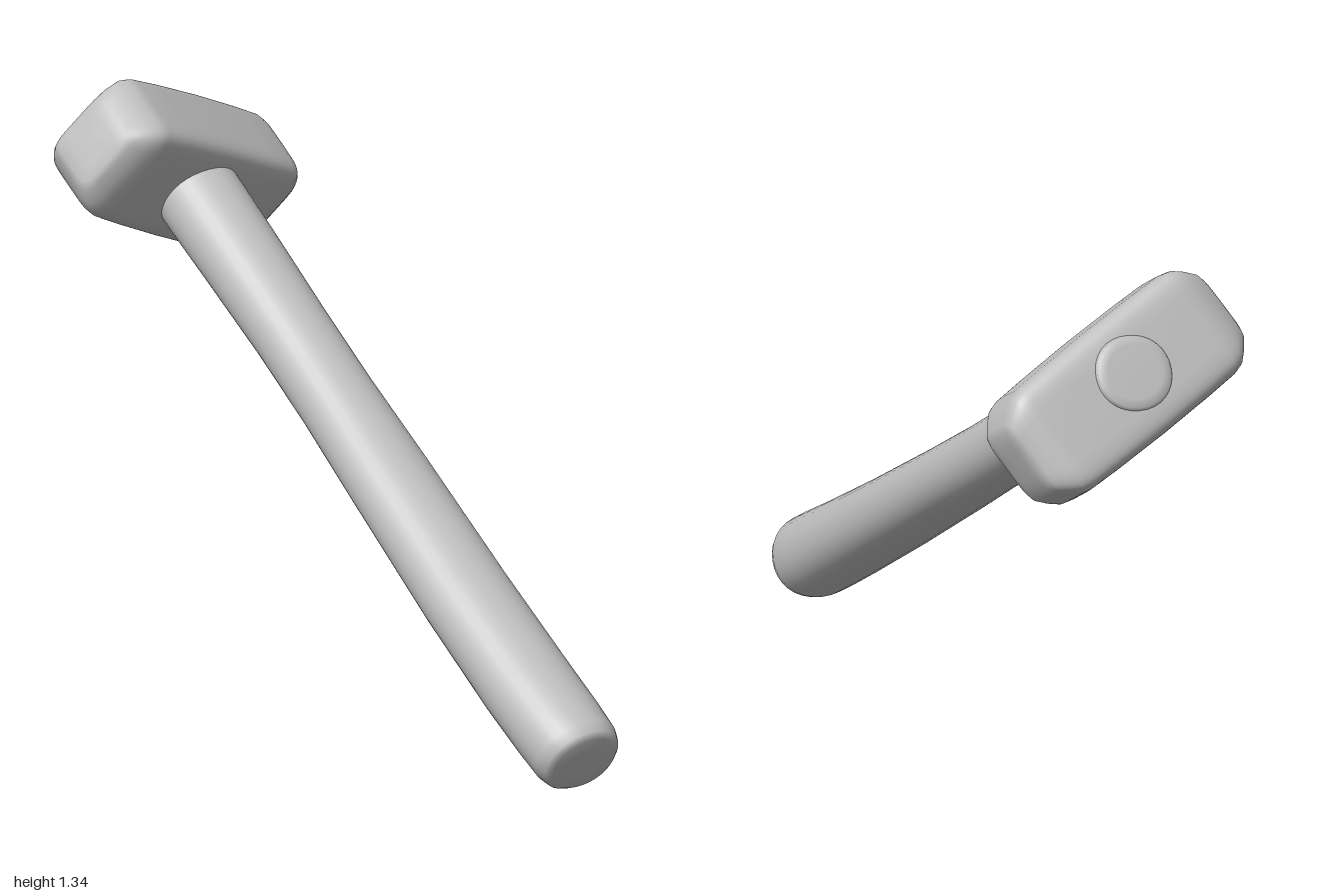
import * as THREE from 'three';

// Rings are [centre, halfU, halfV, exponent]; travel direction is u x v.
function loft(rings, u, v, sides) {
  const pos = [], index = [];
  for (const [c, a, b, e] of rings) {
    for (let i = 0; i < sides; i++) {
      const t = (i / sides) * Math.PI * 2;
      const bend = (s) => Math.sign(s) * Math.pow(Math.abs(s), 2 / e);
      const p = c.clone()
        .addScaledVector(u, a * bend(Math.cos(t)))
        .addScaledVector(v, b * bend(Math.sin(t)));
      pos.push(p.x, p.y, p.z);
    }
  }
  for (let k = 0; k < rings.length - 1; k++) {
    for (let i = 0; i < sides; i++) {
      const j = (i + 1) % sides, p = k * sides, q = p + sides;
      index.push(p + i, p + j, q + i, p + j, q + j, q + i);
    }
  }
  const g = new THREE.BufferGeometry();
  g.setAttribute('position', new THREE.Float32BufferAttribute(pos, 3));
  g.setIndex(index);
  g.computeVertexNormals();
  return g;
}

export function createModel() {
  const model = new THREE.Group();
  model.name = 'hammer';
  const grey = new THREE.MeshStandardMaterial({ color: 0xc0c0c0 });
  grey.name = 'plain grey';

  const axis = new THREE.Vector3(-0.08, 0.5, -0.86).normalize();

  // Handle: slightly bowed oval shaft, swelling at the grip end
  const path = new THREE.CatmullRomCurve3([
    new THREE.Vector3(0.163, 0.092, 0.948),
    new THREE.Vector3(0.122, 0.3, 0.585),
    new THREE.Vector3(0.084, 0.6, 0.07),
    new THREE.Vector3(0.054, 0.8, -0.26),
    new THREE.Vector3(0.02, 1.0, -0.59),
    new THREE.Vector3(-0.014, 1.178, -0.882),
  ]);
  const shaft = [
    [0, 0, 0], [0, 0.05, 0.045], [0, 0.084, 0.08], [0.006, 0.098, 0.094],
    [0.02, 0.108, 0.1], [0.06, 0.112, 0.1], [0.13, 0.114, 0.097],
    [0.25, 0.112, 0.092], [0.38, 0.105, 0.087], [0.5, 0.097, 0.085],
    [0.62, 0.096, 0.086], [0.74, 0.1, 0.09], [0.86, 0.103, 0.095],
    [0.95, 0.1, 0.094], [0.993, 0.098, 0.092], [0.999, 0.09, 0.085],
    [1, 0.07, 0.065], [1, 0, 0],
  ].map(([t, a, b]) => [path.getPoint(t), a, b, 2.1]);
  const side = new THREE.Vector3(1, 0, 0).addScaledVector(axis, -axis.x).normalize();
  const handle = new THREE.Mesh(
    loft(shaft, side, new THREE.Vector3().crossVectors(axis, side), 32), grey);
  handle.name = 'handle';
  model.add(handle);

  // Head: rounded block with bevelled striking ends, mirrored about its middle
  const along = new THREE.Vector3(0.865, -0.4, -0.31);
  along.addScaledVector(axis, -along.dot(axis)).normalize();
  const across = new THREE.Vector3().crossVectors(axis, along);
  const centre = new THREE.Vector3(0, 1.105, -0.78);
  const half = [
    [0.322, 0, 0], [0.322, 0.05, 0.045], [0.319, 0.082, 0.07],
    [0.31, 0.1, 0.084], [0.285, 0.123, 0.099], [0.262, 0.14, 0.109],
    [0.235, 0.147, 0.113], [0.15, 0.15, 0.115],
  ];
  const profile = [
    ...half.map(([l, w, h]) => [-l, w, h]), [0, 0.152, 0.116],
    ...half.slice().reverse(),
  ];
  const block = profile.map(([l, w, h]) =>
    [centre.clone().addScaledVector(along, l), w, h, 6]);
  const head = new THREE.Mesh(loft(block, across, axis, 56), grey);
  head.name = 'head';
  model.add(head);

  return model;
}
